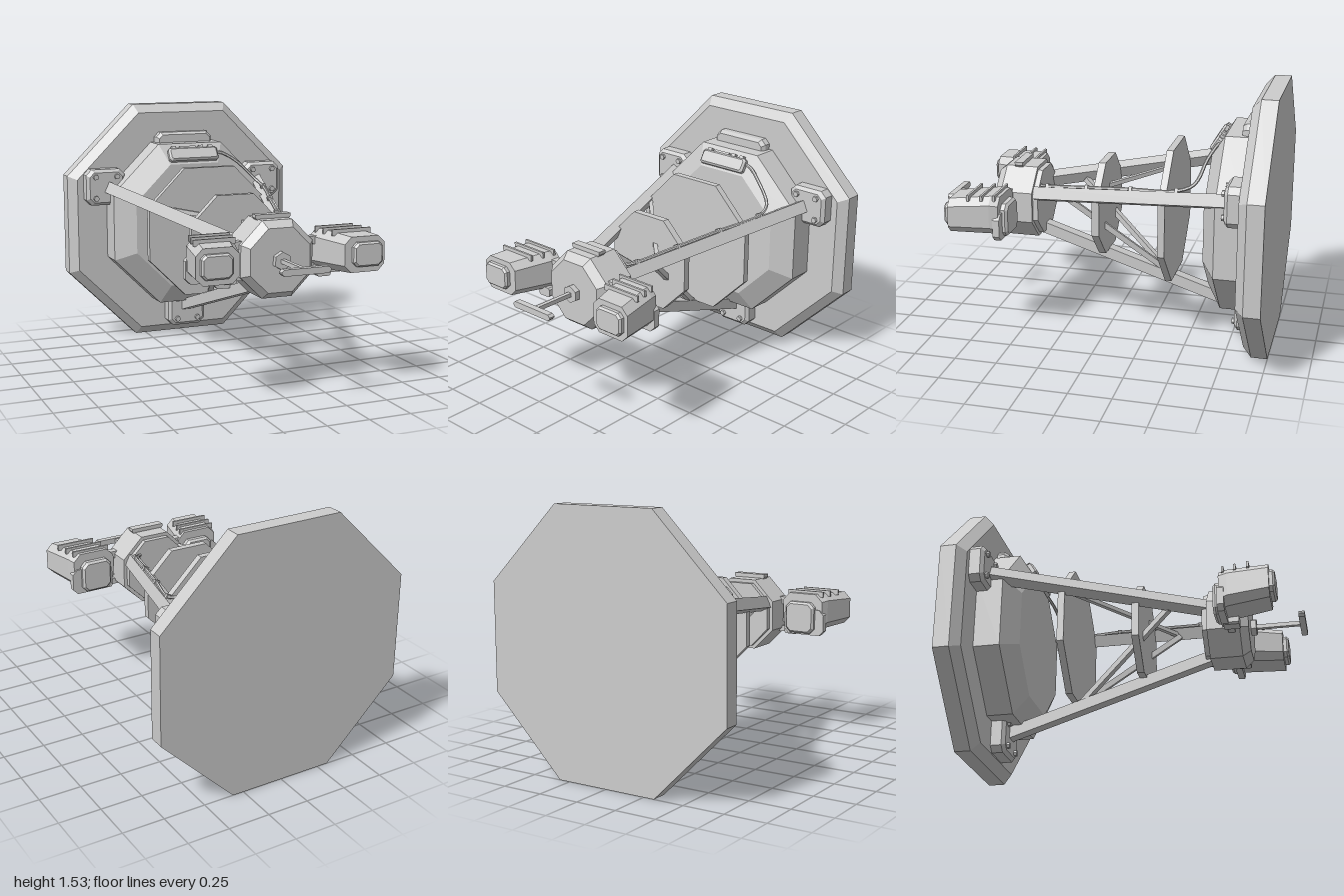
import * as THREE from 'three';

const CY = 0.765; // height of the main axis

export function createModel() {
  const root = new THREE.Group();
  root.name = 'trussStation';
  const grey = new THREE.MeshStandardMaterial({ color: 0xcccccc });
  grey.name = 'lightGrey';
  grey.flatShading = true;

  const add = (name, geo, parent = root) => {
    const m = new THREE.Mesh(geo, grey);
    m.name = name;
    parent.add(m);
    return m;
  };

  // Rectangle with cut corners, counter-clockwise seen from +z
  const outline = (hw, hh, cut) => cut
    ? [[hw, -hh + cut], [hw, hh - cut], [hw - cut, hh], [-hw + cut, hh],
      [-hw, hh - cut], [-hw, -hh + cut], [-hw + cut, -hh], [hw - cut, -hh]]
    : [[hw, -hh], [hw, hh], [-hw, hh], [-hw, -hh]];

  // Solid through sections [z, halfWidth, halfHeight, cut, cx, cy], z increasing
  const loft = (sections) => {
    const rings = sections.map(([z, hw, hh, cut, cx = 0, cy = 0]) =>
      outline(hw, hh, cut).map(([x, y]) => [x + cx, y + cy, z]));
    const v = [];
    const tri = (a, b, c) => v.push(...a, ...b, ...c);
    const n = rings[0].length, first = rings[0], last = rings[rings.length - 1];
    for (let i = 0; i < rings.length - 1; i++) {
      for (let j = 0; j < n; j++) {
        const k = (j + 1) % n, A = rings[i], B = rings[i + 1];
        tri(A[j], A[k], B[k]);
        tri(A[j], B[k], B[j]);
      }
    }
    for (let j = 1; j < n - 1; j++) {
      tri(last[0], last[j], last[j + 1]);
      tri(first[0], first[j + 1], first[j]);
    }
    const g = new THREE.BufferGeometry();
    g.setAttribute('position', new THREE.Float32BufferAttribute(v, 3));
    g.computeVertexNormals();
    return g;
  };

  // Regular octagon section on the main axis
  const oct = (z, r) => [z, r, r, r * (2 - Math.SQRT2), 0, CY];

  const box = (name, w, h, d, x, y, z, parent) => {
    const m = add(name, new THREE.BoxGeometry(w, h, d), parent);
    m.position.set(x, y, z);
    return m;
  };

  // Square bar between two points
  const bar = (name, a, b, t) => {
    const p = new THREE.Vector3(...a), q = new THREE.Vector3(...b);
    const m = add(name, new THREE.BoxGeometry(t, t, p.distanceTo(q)));
    m.position.copy(p).add(q).multiplyScalar(0.5);
    m.lookAt(q);
    return m;
  };

  // Base plate, domed housing, bulkheads and head
  add('basePlate', loft([oct(-1, 0.765), oct(-0.905, 0.765), oct(-0.855, 0.712)]));
  add('baseHousing', loft([oct(-0.86, 0.52), oct(-0.7, 0.52), oct(-0.62, 0.395)]));
  add('rearBulkhead', loft([oct(-0.4, 0.4), oct(-0.36, 0.4)]));
  add('middleBulkhead', loft([oct(0.012, 0.282), oct(0.055, 0.282)]));
  add('frontBulkhead', loft([oct(0.41, 0.197), oct(0.445, 0.197)]));
  add('head', loft([oct(0.44, 0.218), oct(0.63, 0.218), oct(0.678, 0.18)]));

  // Three main struts with bolted pads
  const tilt = THREE.MathUtils.degToRad(25);
  const pads = [[0.545, 1.015], [-0.545, 1.015], [0, 0.175]];
  [tilt, Math.PI - tilt, -Math.PI / 2].forEach((angle, i) => {
    const s = add('strut', loft([[-0.785, 0.035, 0.037, 0, 0.567], [0.45, 0.035, 0.037, 0, 0.172]]));
    s.rotation.z = angle;
    s.position.y = CY;
    const [x, y] = pads[i];
    const pad = new THREE.Group();
    pad.name = 'strutPad';
    pad.position.set(x, y, 0);
    root.add(pad);
    add('padBlock', loft([[-0.86, 0.127, 0.115, 0.035], [-0.79, 0.127, 0.115, 0.035],
      [-0.77, 0.108, 0.096, 0.028]]), pad);
    for (const bx of [-1, 1]) for (const by of [-1, 1]) {
      const bolt = add('padBolt', new THREE.CylinderGeometry(0.018, 0.018, 0.025, 6), pad);
      bolt.rotation.set(Math.PI / 2, Math.PI / 6, 0);
      bolt.position.set(bx * 0.07, by * 0.068, -0.765);
    }
  });

  // Diagonal braces
  for (const s of [-1, 1]) bar('lowerBrace', [s * 0.2, 0.84, 0.22], [0, 0.36, -0.35], 0.032);
  bar('upperBrace', [-0.37, 0.94, -0.37], [0.21, 0.855, 0.21], 0.025);

  // Block above the housing
  add('upperBlock', loft([[-0.86, 0.19, 0.1, 0.03, 0, 1.25], [-0.815, 0.19, 0.1, 0.03, 0, 1.25],
    [-0.79, 0.175, 0.085, 0.025, 0, 1.25]]));

  // Junction box on the sloping face of the housing
  const junction = new THREE.Group();
  junction.name = 'junctionBox';
  junction.position.set(0, 1.212, -0.65);
  junction.rotation.x = -0.57;
  root.add(junction);
  add('junctionCase', loft([[-0.035, 0.167, 0.045, 0.012], [0.02, 0.167, 0.045, 0.012],
    [0.032, 0.155, 0.034, 0.01]]), junction);
  box('junctionBar', 0.11, 0.015, 0.02, -0.03, 0.05, 0.01, junction);
  for (const x of [-0.125, 0.06, 0.125]) box('junctionLug', 0.03, 0.02, 0.025, x, 0.05, 0.01, junction);

  // Cable from the junction box along the left strut to the head
  const onStrut = (z, lift) => {
    const r = 0.19 + (0.44 - z) * 0.32;
    return new THREE.Vector3(r * Math.cos(tilt) - lift * Math.sin(tilt),
      CY + r * Math.sin(tilt) + lift * Math.cos(tilt), z);
  };
  const clips = [-0.47, -0.19, 0.09, 0.35];
  const path = new THREE.CatmullRomCurve3([
    new THREE.Vector3(0.15, 1.225, -0.66), new THREE.Vector3(0.2, 1.22, -0.65),
    new THREE.Vector3(0.29, 1.165, -0.615), new THREE.Vector3(0.4, 1.05, -0.565),
    ...clips.map((z) => onStrut(z, 0.046)),
    new THREE.Vector3(0.12, 0.88, 0.41), new THREE.Vector3(0.1, 0.87, 0.46)]);
  add('cable', new THREE.TubeGeometry(path, 48, 0.01, 6));
  for (const z of clips) {
    const c = box('cableClip', 0.035, 0.03, 0.018, 0, 0, 0);
    c.position.copy(onStrut(z, 0.045));
    c.rotation.z = tilt;
  }

  // Side pods, mirrored
  for (const s of [-1, 1]) {
    const pod = new THREE.Group();
    pod.name = s > 0 ? 'leftPod' : 'rightPod';
    root.add(pod);
    add('podBody', loft([[0.55, 0.135, 0.115, 0.045, s * 0.37, 0.79],
      [0.6, 0.138, 0.113, 0.045, s * 0.382, 0.798],
      [0.835, 0.124, 0.1, 0.04, s * 0.437, 0.795]]), pod);
    add('podFrontPanel', loft([[0.82, 0.09, 0.068, 0.025, s * 0.447, 0.797],
      [0.855, 0.09, 0.068, 0.025, s * 0.447, 0.797],
      [0.867, 0.08, 0.058, 0.02, s * 0.447, 0.797]]), pod);
    add('podRearPanel', loft([[0.51, 0.085, 0.085, 0.025, s * 0.365, 0.758],
      [0.525, 0.097, 0.097, 0.03, s * 0.365, 0.758],
      [0.56, 0.097, 0.097, 0.03, s * 0.365, 0.758]]), pod);
    add('podLowerFlange', loft([[0.54, 0.135, 0.08, 0.03, s * 0.385, 0.73],
      [0.58, 0.135, 0.08, 0.03, s * 0.385, 0.73]]), pod);
    for (const z of [0.575, 0.645, 0.72]) {
      box('podFin', 0.24, 0.035, 0.013, s * (0.38 + (z - 0.575) * 0.22), 0.905, z, pod);
    }
    box('upperArm', 0.14, 0.045, 0.045, s * 0.235, 0.85, 0.585, pod);
    box('lowerArm', 0.14, 0.035, 0.04, s * 0.215, 0.67, 0.585, pod);
    add('armFoot', loft([[0.55, 0.043, 0.028, 0.01, s * 0.288, 0.673],
      [0.64, 0.043, 0.028, 0.01, s * 0.288, 0.673]]), pod);
  }

  // Flared cap on top of the head
  const cap = add('headCap', loft([[0.96, 0.08, 0.022, 0], [0.99, 0.106, 0.025, 0], [1.008, 0.106, 0.025, 0]]));
  cap.rotation.x = -Math.PI / 2;
  cap.position.z = 0.553;

  // Antenna: nut, rod and crossbar with cut ends
  const nut = add('antennaNut', new THREE.CylinderGeometry(0.052, 0.052, 0.04, 6));
  nut.rotation.x = Math.PI / 2;
  nut.position.set(0, CY, 0.69);
  box('antennaRod', 0.024, 0.024, 0.28, 0, CY, 0.83);
  add('antennaCrossbar', loft([[0.964, 0.145, 0.018, 0.014, 0, CY], [1, 0.145, 0.018, 0.014, 0, CY]]));

  return root;
}
